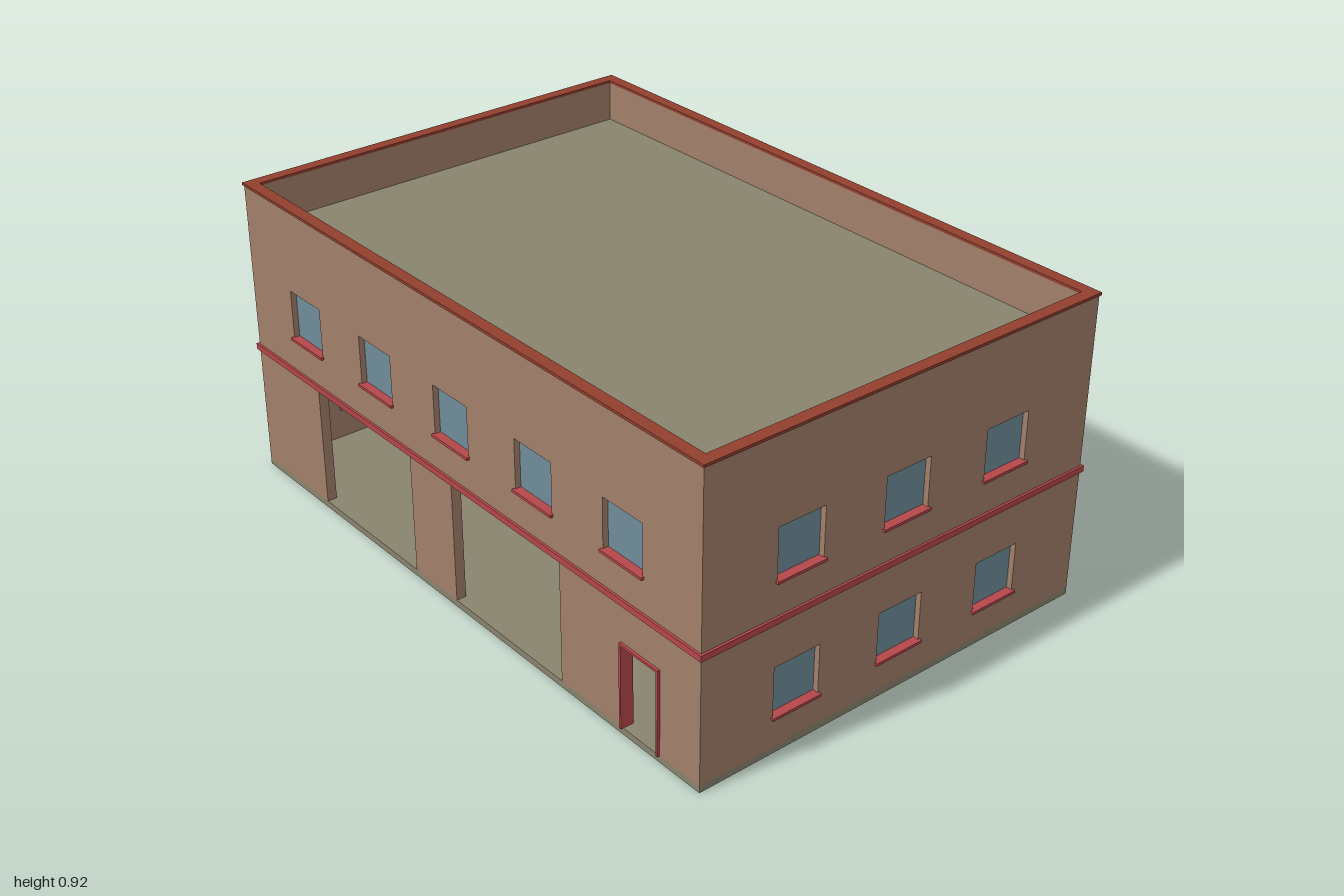
import * as THREE from 'three';

const W = 1.98, D = 1.32, T = 0.03;      // outer width, depth, wall thickness
const BASE = 0.02, TOP = 0.912;          // wall bottom and top
const WIN = 0.15, LOW = 0.11, HIGH = 0.51;

const mat = (name, color) => {
  const m = new THREE.MeshStandardMaterial({ color });
  m.name = name;
  return m;
};

export function createModel() {
  const brick = mat('brown wall', 0xa27f6a);
  const concrete = mat('grey concrete', 0x89846f);
  const rust = mat('rust coping', 0x923f2f);
  const red = mat('red trim', 0xb5474a);
  const glass = mat('blue glass', 0x6f8c9a);
  const model = new THREE.Group();
  model.name = 'building';

  const box = (parent, name, material, w, h, d, x, y, z) => {
    const m = new THREE.Mesh(new THREE.BoxGeometry(w, h, d), material);
    m.name = name;
    m.position.set(x, y, z);
    parent.add(m);
  };

  // One wall, outer face on local z = 0. openings: [x0, x1, top, framed]
  const wall = (name, length, windows, openings) => {
    const g = new THREE.Group();
    g.name = name;
    const s = new THREE.Shape();
    s.moveTo(-length / 2, BASE);
    for (const [x0, x1, top] of openings) {
      s.lineTo(x0, BASE);
      s.lineTo(x0, top);
      s.lineTo(x1, top);
      s.lineTo(x1, BASE);
    }
    s.lineTo(length / 2, BASE);
    s.lineTo(length / 2, TOP);
    s.lineTo(-length / 2, TOP);
    s.closePath();

    for (const [x, y] of windows) {
      const a = x - WIN / 2, b = x + WIN / 2;
      const hole = new THREE.Path();
      hole.moveTo(a, y);
      hole.lineTo(a, y + WIN);
      hole.lineTo(b, y + WIN);
      hole.lineTo(b, y);
      hole.closePath();
      s.holes.push(hole);
      box(g, 'windowPane', glass, WIN, WIN, 0.006, x, y + WIN / 2, -0.02);
      box(g, 'windowSill', red, 0.16, 0.008, 0.026, x, y, -0.004);
    }
    const panel = new THREE.Mesh(
      new THREE.ExtrudeGeometry(s, { depth: T, bevelEnabled: false }), brick);
    panel.name = 'wallPanel';
    panel.position.z = -T;
    g.add(panel);

    // Thin lining around each framed doorway
    for (const [x0, x1, top, framed] of openings) {
      if (!framed) continue;
      const f = 0.007, d = T + 0.01, z = -T / 2 + 0.003;
      for (const x of [x0, x1])
        box(g, 'doorJamb', red, f, top - BASE, d, x, (top + BASE) / 2, z);
      box(g, 'doorHead', red, x1 - x0 + f, f, d, (x0 + x1) / 2, top, z);
    }
    model.add(g);
    return g;
  };

  const row = (xs, y) => xs.map((x) => [x, y]);
  const five = [-0.705, -0.355, -0.004, 0.35, 0.702];
  const three = [-0.352, 0, 0.352];

  const front = wall('frontWall', W, row(five, HIGH), [
    [-0.67, -0.21, 0.385, false],
    [-0.017, 0.45, 0.385, false],
    [0.697, 0.838, 0.275, true],
  ]);
  front.position.z = D / 2;

  // The back wall is turned round, so its local x runs the other way
  const backXs = five.map((x) => -x);
  const back = wall('backWall', W,
    [...row(backXs, HIGH), ...row(backXs.slice(1), LOW)],
    [[0.482, 0.623, 0.275, true]]);
  back.position.z = -D / 2;
  back.rotation.y = Math.PI;

  for (const side of [-1, 1]) {
    const g = wall(side > 0 ? 'leftWall' : 'rightWall', D - 2 * T,
      [...row(three, HIGH), ...row(three, LOW)], []);
    g.position.x = side * W / 2;
    g.rotation.y = side * Math.PI / 2;
  }

  // Ground slab and sunken roof
  box(model, 'groundSlab', concrete, W, BASE, D, 0, BASE / 2, 0);
  box(model, 'roofDeck', concrete, W - 2 * T, 0.02, D - 2 * T, 0, 0.78, 0);

  // Rectangular ring, standing proud of the walls by p and reaching inward
  const ring = (name, material, p, thick, h, y) => {
    const g = new THREE.Group();
    g.name = name;
    for (const s of [-1, 1]) {
      box(g, name + 'Long', material, W + 2 * p, h, thick,
        0, y, s * (D / 2 + p - thick / 2));
      box(g, name + 'Short', material, thick, h, D + 2 * p - 2 * thick,
        s * (W / 2 + p - thick / 2), y, 0);
    }
    model.add(g);
  };
  ring('stringBand', red, 0.007, 0.012, 0.018, 0.4);
  ring('parapetCoping', rust, 0.004, 0.036, 0.008, TOP + 0.004);

  return model;
}
